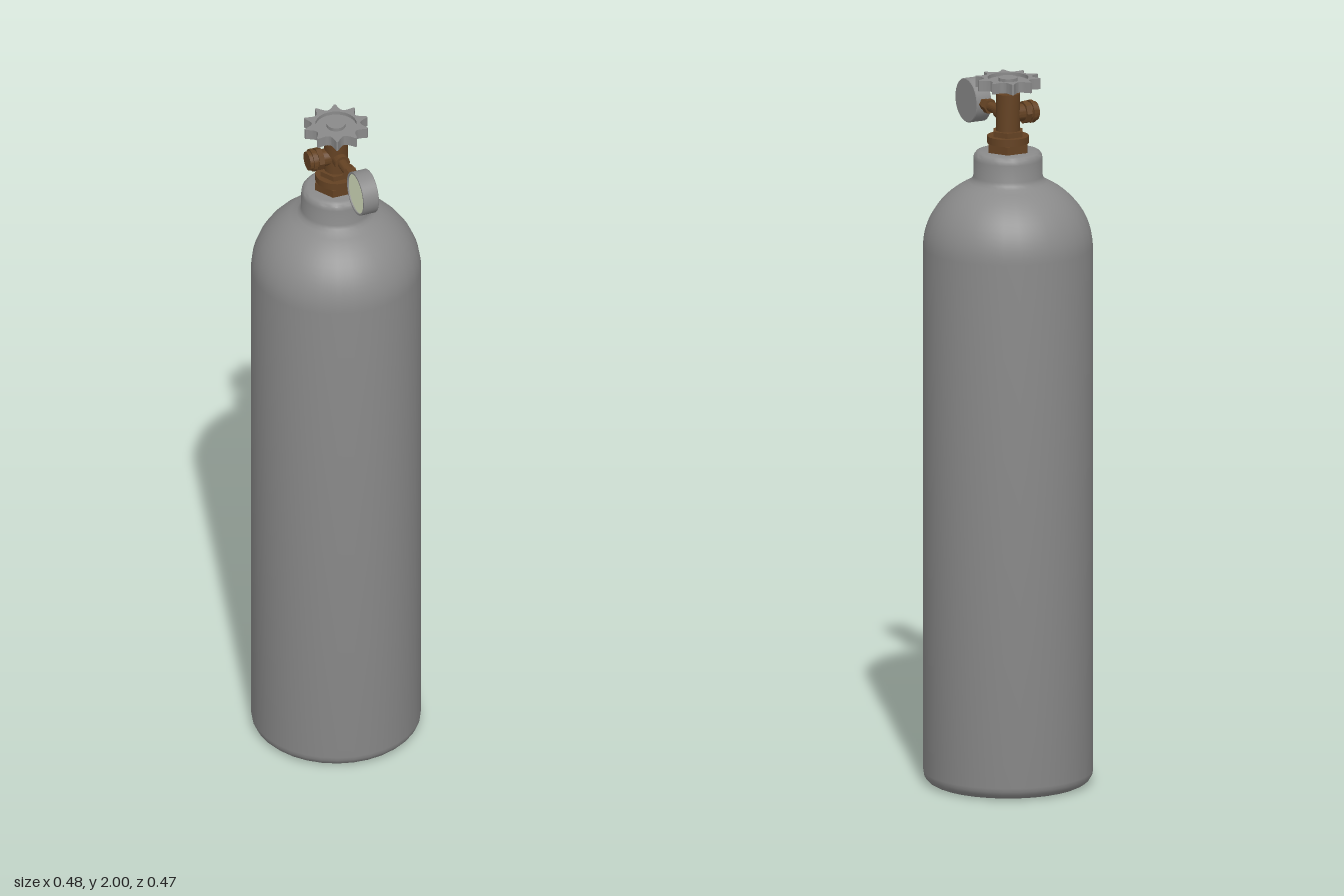
import * as THREE from 'three';
import { toCreasedNormals } from 'three/addons/utils/BufferGeometryUtils.js';

const steel = new THREE.MeshStandardMaterial({ color: 0x8a8a8a });
const brass = new THREE.MeshStandardMaterial({ color: 0x644223 });
const dialPaint = new THREE.MeshStandardMaterial({ color: 0xdfe8c6 });

function add(parent, name, geometry, material) {
  const mesh = new THREE.Mesh(geometry, material);
  mesh.name = name;
  parent.add(mesh);
}

// Turned part about y; profile is [radius, height] from bottom to top
function turned(profile, sides, crease = 0.6) {
  const points = profile.map(([r, y]) => new THREE.Vector2(r, y));
  return toCreasedNormals(new THREE.LatheGeometry(points, sides), crease);
}

// Solid of stacked straight sections [radius, start, end, sides]
function stack(parent, name, sections, material) {
  sections.forEach(([r, from, to, sides = 20], i) => {
    const g = toCreasedNormals(new THREE.CylinderGeometry(r, r, to - from, sides), 0.6);
    add(parent, name + (i + 1), g.translate(0, (from + to) / 2, 0), material);
  });
}

function tank() {
  const profile = [[0, 0], [0.2, 0]];
  // rounded foot
  for (let i = 1; i <= 5; i++) {
    const a = (i / 5) * Math.PI / 2;
    profile.push([0.2 + 0.035 * Math.sin(a), 0.035 * (1 - Math.cos(a))]);
  }
  // domed shoulder
  const end = Math.acos(0.108 / 0.235);
  for (let i = 0; i <= 12; i++) {
    const a = (i / 12) * end;
    profile.push([0.235 * Math.cos(a), 1.52 + 0.208 * Math.sin(a)]);
  }
  // neck collar
  profile.push([0.1, 1.712], [0.096, 1.722], [0.096, 1.77], [0.094, 1.781], [0.088, 1.789], [0.078, 1.792], [0, 1.792]);
  return turned(profile, 32, 0.75);
}

function handwheel() {
  const wheel = new THREE.Group();
  wheel.name = 'handwheel';
  const teeth = 10;
  const shape = new THREE.Shape();
  const polar = (r, a) => [r * Math.cos(a), r * Math.sin(a)];
  const step = (Math.PI * 2) / teeth;
  const start = THREE.MathUtils.degToRad(28);
  // pointed teeth joined by rounded V-shaped grips
  for (let i = 0; i < teeth; i++) {
    const a = start + i * step;
    if (i === 0) shape.moveTo(...polar(0.091, a - 0.03));
    shape.lineTo(...polar(0.091, a + 0.03));
    shape.bezierCurveTo(
      ...polar(0.06, a + step * 0.44),
      ...polar(0.06, a + step * 0.56),
      ...polar(0.091, a + step - 0.03));
  }
  const hole = new THREE.Path();
  hole.absarc(0, 0, 0.057, 0, Math.PI * 2, true);
  shape.holes.push(hole);
  const rim = new THREE.ExtrudeGeometry(shape, { depth: 0.03, bevelEnabled: false, curveSegments: 10 });
  rim.rotateX(-Math.PI / 2).translate(0, 1.97, 0);
  add(wheel, 'wheelRim', toCreasedNormals(rim, 0.6), steel);
  // recessed web and raised hub
  stack(wheel, 'wheelHub', [[0.0575, 1.978, 1.99, 32], [0.026, 1.965, 2, 24]], steel);
  return wheel;
}

function gauge() {
  const group = new THREE.Group();
  group.name = 'pressureGauge';
  // cup with a thin lip around the sunken dial
  add(group, 'gaugeCase', turned([
    [0, -0.023], [0.06, -0.023], [0.062, -0.021], [0.062, 0.023], [0.057, 0.023], [0.057, 0.018], [0, 0.018],
  ], 32), steel);
  const dial = new THREE.CircleGeometry(0.057, 32).rotateX(-Math.PI / 2);
  add(group, 'gaugeDial', dial.translate(0, 0.0195, 0), dialPaint);
  group.rotation.x = Math.PI / 2;
  group.position.set(0.198, 1.895, 0);
  return group;
}

function valve() {
  const group = new THREE.Group();
  group.name = 'valve';
  // upright body: base nut, collar, column and spindle
  stack(group, 'valveBody', [
    [0.062, 1.788, 1.815, 6], [0.058, 1.815, 1.835], [0.046, 1.835, 1.85, 6],
    [0.033, 1.85, 1.955], [0.014, 1.955, 1.972],
  ], brass);

  // outlet facing forward, with stepped threads
  const outlet = new THREE.Group();
  outlet.name = 'outlet';
  stack(outlet, 'outletStep', [
    [0.024, 0, 0.05], [0.032, 0.045, 0.06, 8], [0.027, 0.06, 0.066],
    [0.032, 0.066, 0.076], [0.027, 0.076, 0.086],
  ], brass);
  outlet.rotation.x = Math.PI / 2;
  outlet.position.y = 1.895;

  // side arm carrying the gauge
  const arm = new THREE.Group();
  arm.name = 'gaugeArm';
  stack(arm, 'armSection', [
    [0.022, 0, 0.048], [0.014, 0.048, 0.098], [0.021, 0.098, 0.118, 6],
    [0.01, 0.118, 0.126], [0.016, 0.126, 0.14, 6],
  ], brass);
  arm.rotation.z = -Math.PI / 2;
  arm.position.y = 1.895;

  group.add(outlet, arm, gauge());
  group.rotation.y = THREE.MathUtils.degToRad(-24);
  return group;
}

export function createModel() {
  const model = new THREE.Group();
  model.name = 'gasCylinder';
  add(model, 'tank', tank(), steel);
  model.add(valve(), handwheel());
  // the gauge overhangs one side, so the tank sits slightly off centre
  model.children.forEach((part) => { part.position.x = -0.006; });
  return model;
}
